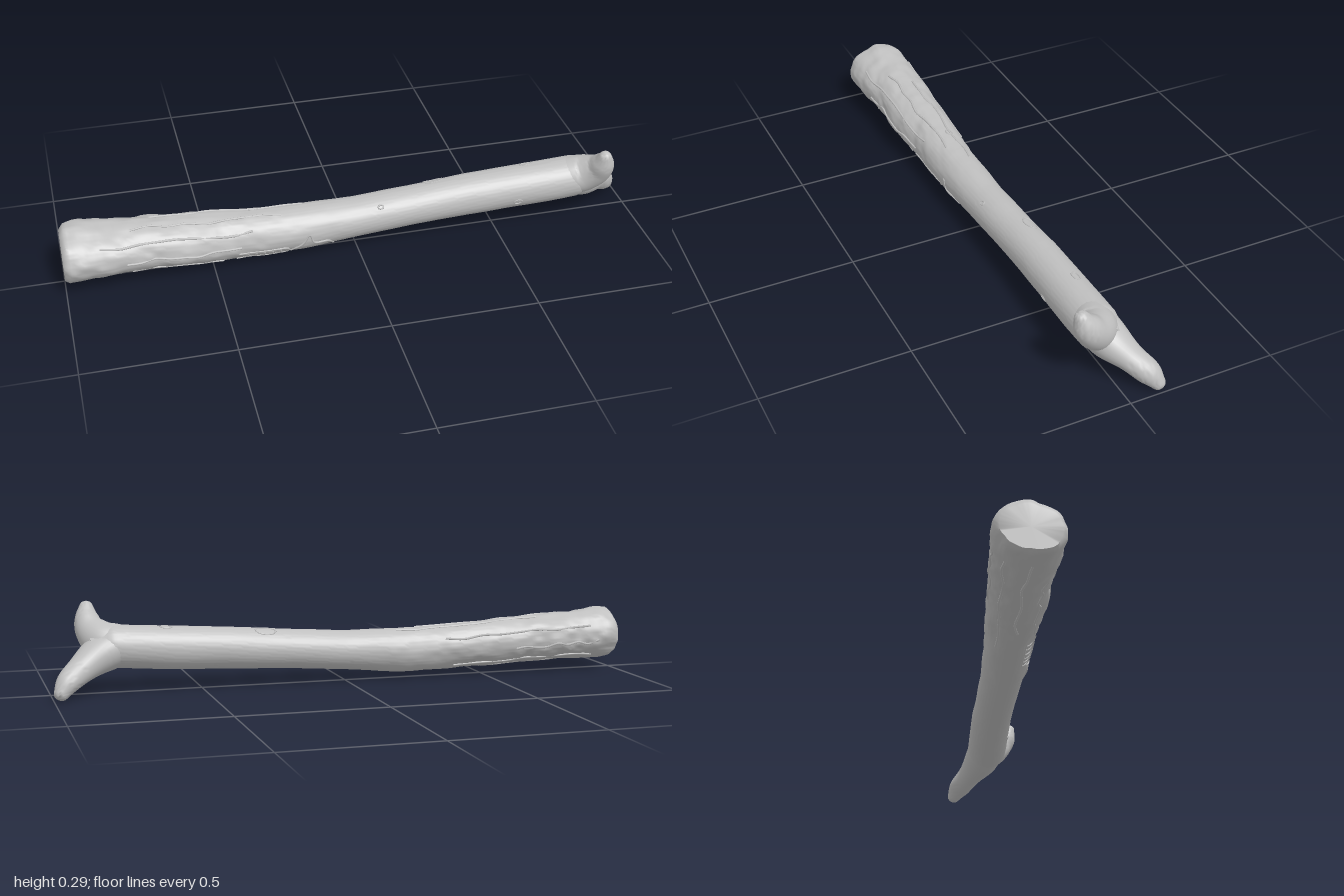
import * as THREE from 'three';
import { toCreasedNormals } from 'three/addons/utils/BufferGeometryUtils.js';

const TAU = Math.PI * 2;
const lerp = THREE.MathUtils.lerp;
const smooth = THREE.MathUtils.smoothstep;

// Trunk stations: x, bottom y, top y, back z, front z
const STATIONS = [
  [-1.0, 0.055, 0.2, -0.08, 0.105],
  [-0.985, 0.045, 0.222, -0.092, 0.117],
  [-0.95, 0.043, 0.226, -0.096, 0.119],
  [-0.8, 0.05, 0.212, -0.094, 0.11],
  [-0.6, 0.038, 0.2, -0.084, 0.1],
  [-0.4, 0.03, 0.187, -0.075, 0.09],
  [-0.2, 0.027, 0.18, -0.069, 0.083],
  [0.0, 0.045, 0.182, -0.065, 0.079],
  [0.2, 0.06, 0.193, -0.064, 0.075],
  [0.4, 0.068, 0.21, -0.067, 0.074],
  [0.6, 0.076, 0.221, -0.064, 0.08],
  [0.8, 0.09, 0.233, -0.06, 0.084],
  [0.87, 0.115, 0.2, -0.035, 0.045],
];

// Seeded value noise, periodic around the trunk
function hash(a, b) {
  const s = Math.sin(a * 127.1 + b * 311.7) * 43758.5453;
  return s - Math.floor(s);
}
function noise(x, turn, cells) {
  const t = (((turn % 1) + 1) % 1) * cells;
  const i = Math.floor(x), j = Math.floor(t);
  const fx = smooth(x - i, 0, 1), ft = smooth(t - j, 0, 1);
  const j0 = j % cells, j1 = (j + 1) % cells;
  return lerp(lerp(hash(i, j0), hash(i + 1, j0), fx), lerp(hash(i, j1), hash(i + 1, j1), fx), ft) * 2 - 1;
}

// Point on the trunk surface; angle 0 is up and a quarter turn is the front
function trunkPoint(x, angle, lift = 0) {
  let k = 0;
  while (k < STATIONS.length - 2 && x > STATIONS[k + 1][0]) k++;
  const a = STATIONS[k], b = STATIONS[k + 1];
  const f = (x - a[0]) / (b[0] - a[0]);
  const [y0, y1, z0, z1] = [1, 2, 3, 4].map((n) => lerp(a[n], b[n], f));
  const rough = 1 - smooth(x, -0.75, 0.1);
  const turn = angle / TAU;
  const bark = noise(x * 13, turn, 13) * 0.05 + noise(x * 32 + 9, turn, 24) * 0.035;
  const wave = noise(x * 7 + 40, turn, 5) * 0.018;
  const lobes = 0.05 * Math.cos(2 * (angle - Math.PI * 0.75)) * (0.25 + 0.75 * rough);
  const scale = 1 + lobes + wave + bark * (0.06 + 0.94 * rough);
  return new THREE.Vector3(
    x,
    (y0 + y1) / 2 + Math.cos(angle) * ((y1 - y0) / 2 * scale + lift),
    (z0 + z1) / 2 + Math.sin(angle) * ((z1 - z0) / 2 * scale + lift),
  );
}

// Skin closed rings of points, capping both ends
function loft(rings, crease) {
  const n = rings[0].length, pos = [], index = [];
  rings.forEach((ring) => ring.forEach((p) => pos.push(p.x, p.y, p.z)));
  for (let i = 0; i < rings.length - 1; i++) {
    for (let j = 0; j < n; j++) {
      const a = i * n + j, b = i * n + (j + 1) % n;
      index.push(a, b, b + n, a, b + n, a + n);
    }
  }
  const last = (rings.length - 1) * n, start = rings.length * n;
  [rings[0], rings[rings.length - 1]].forEach((ring) => {
    const c = ring.reduce((s, p) => s.add(p), new THREE.Vector3()).divideScalar(n);
    pos.push(c.x, c.y, c.z);
  });
  for (let j = 0; j < n; j++) {
    const k = (j + 1) % n;
    index.push(start, k, j, start + 1, last + j, last + k);
  }
  const geo = new THREE.BufferGeometry();
  geo.setAttribute('position', new THREE.Float32BufferAttribute(pos, 3));
  geo.setIndex(index);
  return toCreasedNormals(geo, crease);
}

// Tapering branch through points of x, y, z, radius
function branchGeometry(points, ref, seed) {
  const path = new THREE.CatmullRomCurve3(points.map((p) => new THREE.Vector3(p[0], p[1], p[2])));
  const radii = new THREE.CatmullRomCurve3(points.map((p, i) => new THREE.Vector3(i, p[3], 0)), false, 'catmullrom');
  const rings = [], steps = 24, sides = 28;
  for (let i = 0; i <= steps + 2; i++) {
    const t = Math.min(i / steps, 1);
    const c = path.getPoint(t), T = path.getTangent(t);
    const U = ref.clone().addScaledVector(T, -ref.dot(T)).normalize();
    const V = new THREE.Vector3().crossVectors(T, U);
    // The last two rings round the tip
    const over = Math.max(i - steps, 0);
    const r = radii.getPoint(t).y * [1, 0.75, 0.35][over];
    c.addScaledVector(T, [0, 0.008, 0.012][over]);
    rings.push(Array.from({ length: sides }, (_, j) => {
      const a = j / sides * TAU;
      const q = r * (1 + 0.07 * noise(t * 4 + seed, j / sides, 5));
      return c.clone().addScaledVector(U, Math.cos(a) * q).addScaledVector(V, Math.sin(a) * q);
    }));
  }
  return loft(rings, 1.2);
}

export function createModel() {
  const group = new THREE.Group();
  const wood = new THREE.MeshStandardMaterial({ color: 0xc0c0c0 });
  wood.name = 'grey wood';
  const add = (name, geo) => {
    const mesh = new THREE.Mesh(geo, wood);
    mesh.name = name;
    group.add(mesh);
  };

  // Trunk with rough bark fading towards the fork
  const xs = [-1, -0.993, -0.985, -0.975];
  for (let i = 1; i <= 170; i++) xs.push(lerp(-0.975, 0.87, i / 170));
  add('trunk', loft(xs.map((x) => Array.from({ length: 72 }, (_, j) => trunkPoint(x, j / 72 * TAU))), 0.95));

  // Fork: a short stub rising to the front and a longer one dropping to the back
  add('upperBranch', branchGeometry([
    [0.77, 0.162, 0.012, 0.067], [0.825, 0.178, 0.032, 0.065], [0.86, 0.213, 0.067, 0.05],
    [0.867, 0.25, 0.093, 0.038], [0.866, 0.288, 0.11, 0.021],
  ], new THREE.Vector3(1, 0, 0), 3));
  add('lowerBranch', branchGeometry([
    [0.77, 0.162, 0.012, 0.067], [0.84, 0.137, -0.008, 0.062], [0.905, 0.098, -0.048, 0.047],
    [0.955, 0.06, -0.088, 0.037], [0.982, 0.027, -0.11, 0.022],
  ], new THREE.Vector3(0, 1, 0), 8));

  // Raised bark lines that follow the trunk surface
  const ridge = (name, marks, radius, closed = false) => {
    const path = new THREE.CatmullRomCurve3(marks.map(([x, a]) => trunkPoint(x, a)), closed);
    add(name, new THREE.TubeGeometry(path, 40, radius, 6, closed));
  };
  for (let i = 0; i < 6; i++) {
    const x = -0.4 + i * 0.028;
    ridge('barkCurl', [[x - 0.02, 2.0], [x + 0.008, 2.05], [x + 0.014, 2.25], [x + 0.004, 2.5], [x - 0.025, 2.55]], 0.0035);
  }
  ridge('barkFlap', [[-0.24, 2.3], [-0.2, 1.9], [-0.175, 1.45], [-0.16, 1.9], [-0.11, 2.0], [-0.09, 2.35]], 0.004);
  for (let i = 0; i < 9; i++) {
    const x = -0.93 + hash(i, 5) * 0.25, a = i / 9 * TAU + 0.3, len = 0.25 + hash(i, 6) * 0.3;
    const marks = Array.from({ length: 9 }, (_, k) => [x + len * k / 8, a + (hash(i, k + 20) - 0.5) * 0.18]);
    ridge('barkRidge', marks, 0.004);
  }

  // Knot outlines: x, angle, half length, half turn
  [[0.285, -0.4, 0.035, 0.3], [0.62, -0.25, 0.02, 0.15], [0.57, 1.9, 0.014, 0.13],
    [0.08, 0.75, 0.009, 0.1], [-0.35, -0.3, 0.015, 0.12]].forEach(([x, a, w, h]) => {
    const marks = Array.from({ length: 8 }, (_, k) => [x + w * Math.cos(k / 8 * TAU), a + h * Math.sin(k / 8 * TAU)]);
    ridge('knot', marks, 0.0025, true);
  });

  return group;
}
